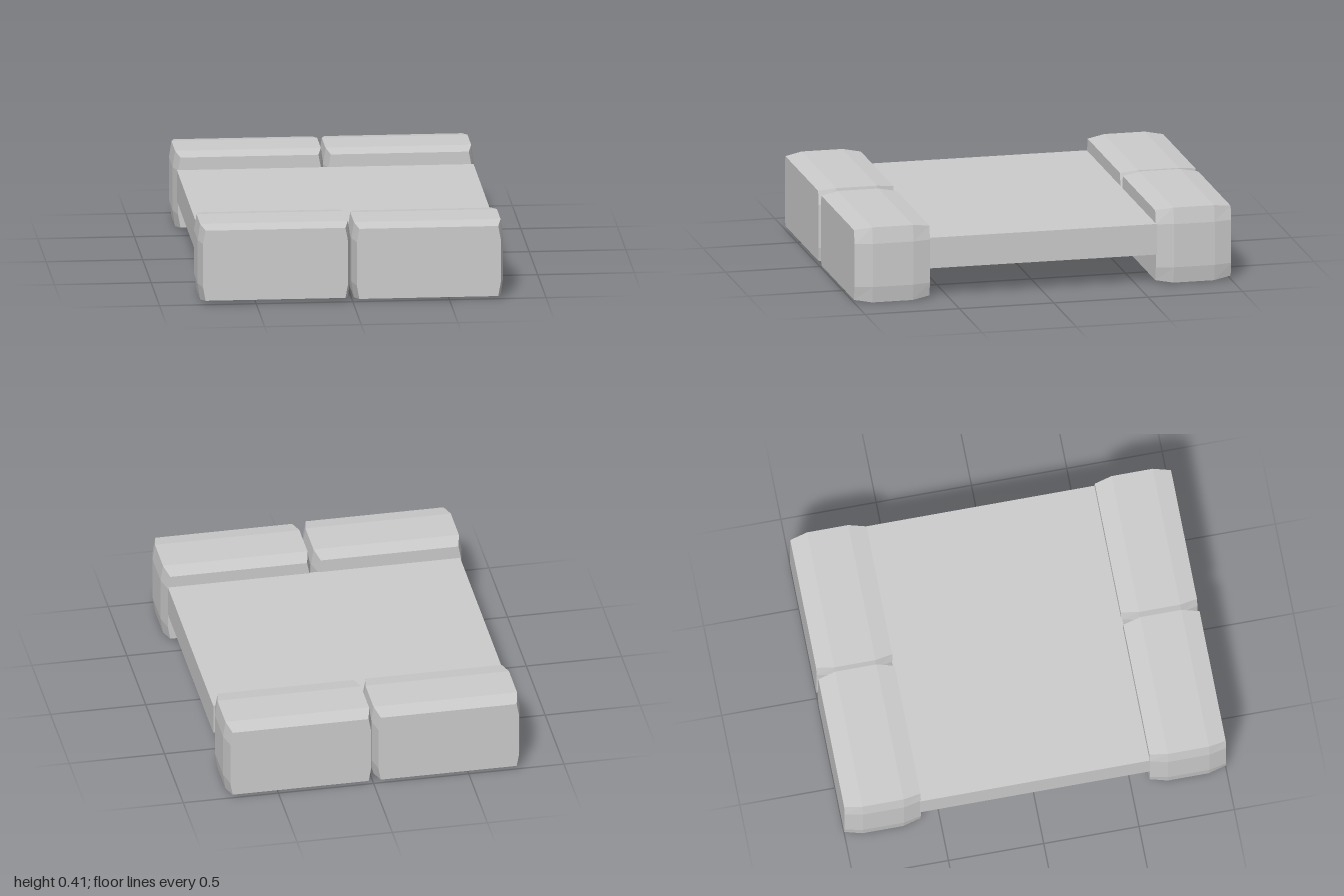
import * as THREE from 'three';

const material = new THREE.MeshStandardMaterial({ color: 0xcccccc, flatShading: true });

// Block with softly bevelled sides: ends taper in y, outer rows taper in x
function bevelledBlock(width) {
  const half = 0.2;
  const geometry = new THREE.BoxGeometry(width, 2 * half, 2 * half, 1, 3, 3);
  const p = geometry.attributes.position;
  for (let i = 0; i < p.count; i++) {
    const x = p.getX(i), y = p.getY(i), z = p.getZ(i);
    const yEdge = Math.abs(y) > half - 0.01;
    const zEdge = Math.abs(z) > half - 0.01;
    const yHalf = yEdge ? half - (zEdge ? 0.014 : 0) : 0.115;
    const zHalf = zEdge ? half : 0.108;
    const inset = (zEdge ? 0.02 : 0) + (yEdge ? 0.013 : 0);
    p.setXYZ(i, Math.sign(x) * (width / 2 - inset), Math.sign(y) * yHalf, Math.sign(z) * zHalf);
  }
  geometry.computeVertexNormals();
  return geometry;
}

export function createModel() {
  const model = new THREE.Group();
  model.name = 'slabOnBlocks';

  const add = (name, geometry, x, y, z) => {
    const mesh = new THREE.Mesh(geometry, material);
    mesh.name = name;
    mesh.position.set(x, y, z);
    model.add(mesh);
  };

  // Flat slab between the two rows of blocks
  add('slab', new THREE.BoxGeometry(1.535, 0.163, 1.21), -0.003, 0.242, 0);

  // Two slightly uneven blocks at each end
  const blocks = [
    ['frontRightBlock', 0.79, -0.4, 0.207, 0.8],
    ['frontLeftBlock', 0.785, 0.393, 0.2, 0.8],
    ['backRightBlock', 0.78, -0.395, 0.204, -0.8],
    ['backLeftBlock', 0.78, 0.383, 0.204, -0.8],
  ];
  for (const [name, width, x, y, z] of blocks) add(name, bevelledBlock(width), x, y, z);

  return model;
}
